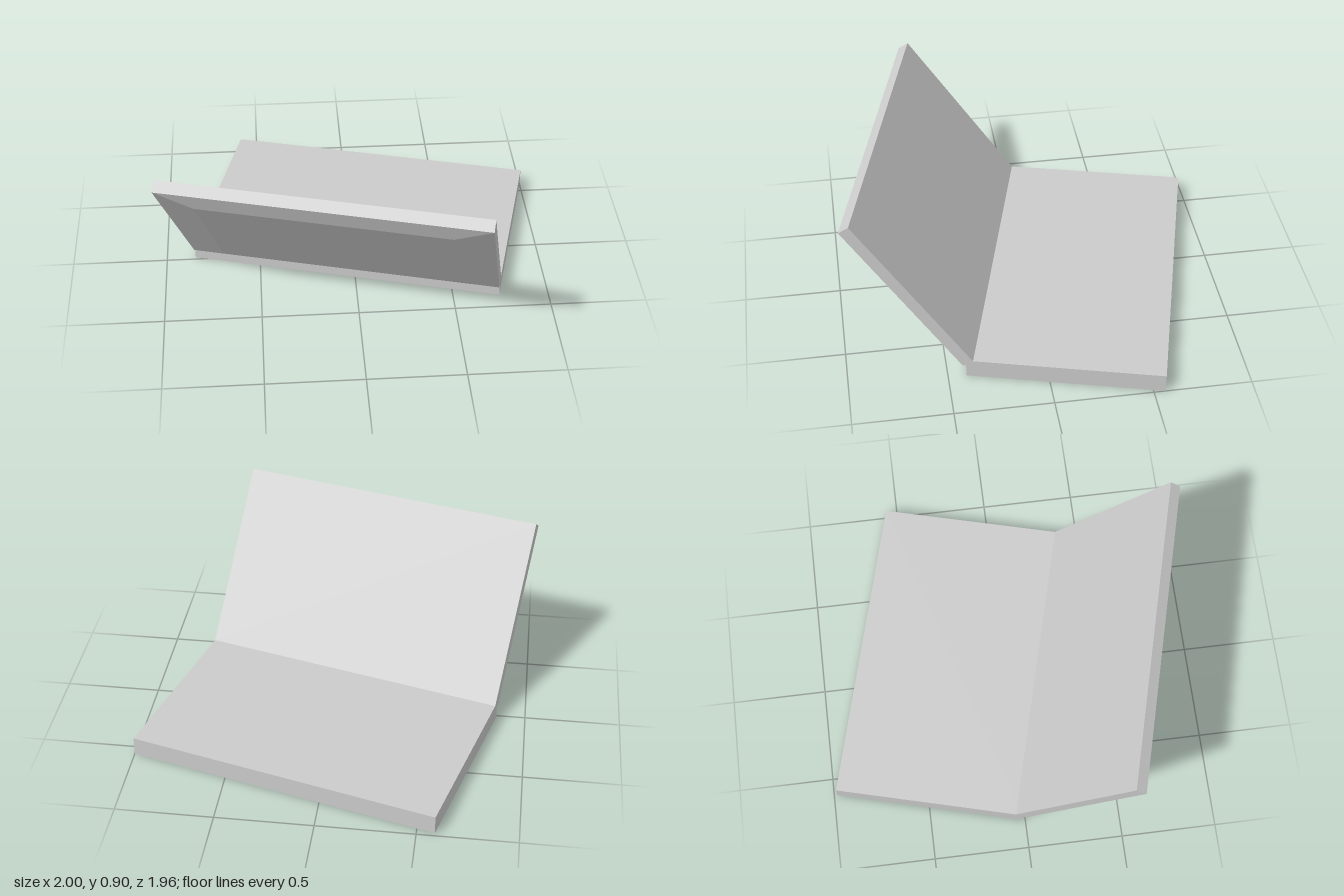
import * as THREE from 'three';

const material = new THREE.MeshStandardMaterial({ color: 0xcccccc, side: THREE.DoubleSide });
const WIDTH = 1.645;
const FACE = { bottom: 3, front: 4, back: 5 }; // side order within a BoxGeometry

// Box with one of its six sides left off
function openBox(w, h, d, face) {
  const geometry = new THREE.BoxGeometry(w, h, d);
  const index = Array.from(geometry.index.array);
  index.splice(face * 6, 6);
  geometry.setIndex(index);
  geometry.clearGroups();
  return geometry;
}

function addMesh(parent, name, geometry, x, y, z) {
  const mesh = new THREE.Mesh(geometry, material);
  mesh.name = name;
  mesh.position.set(x, y, z);
  parent.add(mesh);
  return mesh;
}

// Raised panel: a shallow box whose front side is drawn in on all four edges
function raisedPanel(w, h, d, insetX, insetY) {
  const geometry = openBox(w, h, d, FACE.back);
  const pos = geometry.attributes.position;
  for (let i = 0; i < pos.count; i++) {
    if (pos.getZ(i) < 0) continue;
    pos.setX(i, pos.getX(i) - Math.sign(pos.getX(i)) * insetX);
    pos.setY(i, pos.getY(i) - Math.sign(pos.getY(i)) * insetY);
  }
  const flat = geometry.toNonIndexed();
  flat.computeVertexNormals();
  return flat;
}

export function createModel() {
  const model = new THREE.Group();
  model.name = 'openLaptop';
  model.rotation.y = THREE.MathUtils.degToRad(-14.9);

  // Keyboard base: a shell open underneath
  addMesh(model, 'base', openBox(WIDTH, 0.1, 1.0, FACE.bottom), 0, 0.05, -0.297);

  // Screen lid, leaning back from the hinge line
  const lid = new THREE.Group();
  lid.name = 'lid';
  lid.position.set(0, 0.1, 0.168);
  lid.rotation.x = THREE.MathUtils.degToRad(35.8);
  model.add(lid);

  const length = 0.987, thickness = 0.063, bulge = 0.026;
  addMesh(lid, 'screenSlab', openBox(WIDTH, length, thickness, FACE.front),
    0, length / 2, thickness / 2);
  addMesh(lid, 'lidBackPanel', raisedPanel(WIDTH, length, bulge, 0.19, 0.105),
    0, length / 2, thickness + bulge / 2);

  return model;
}
